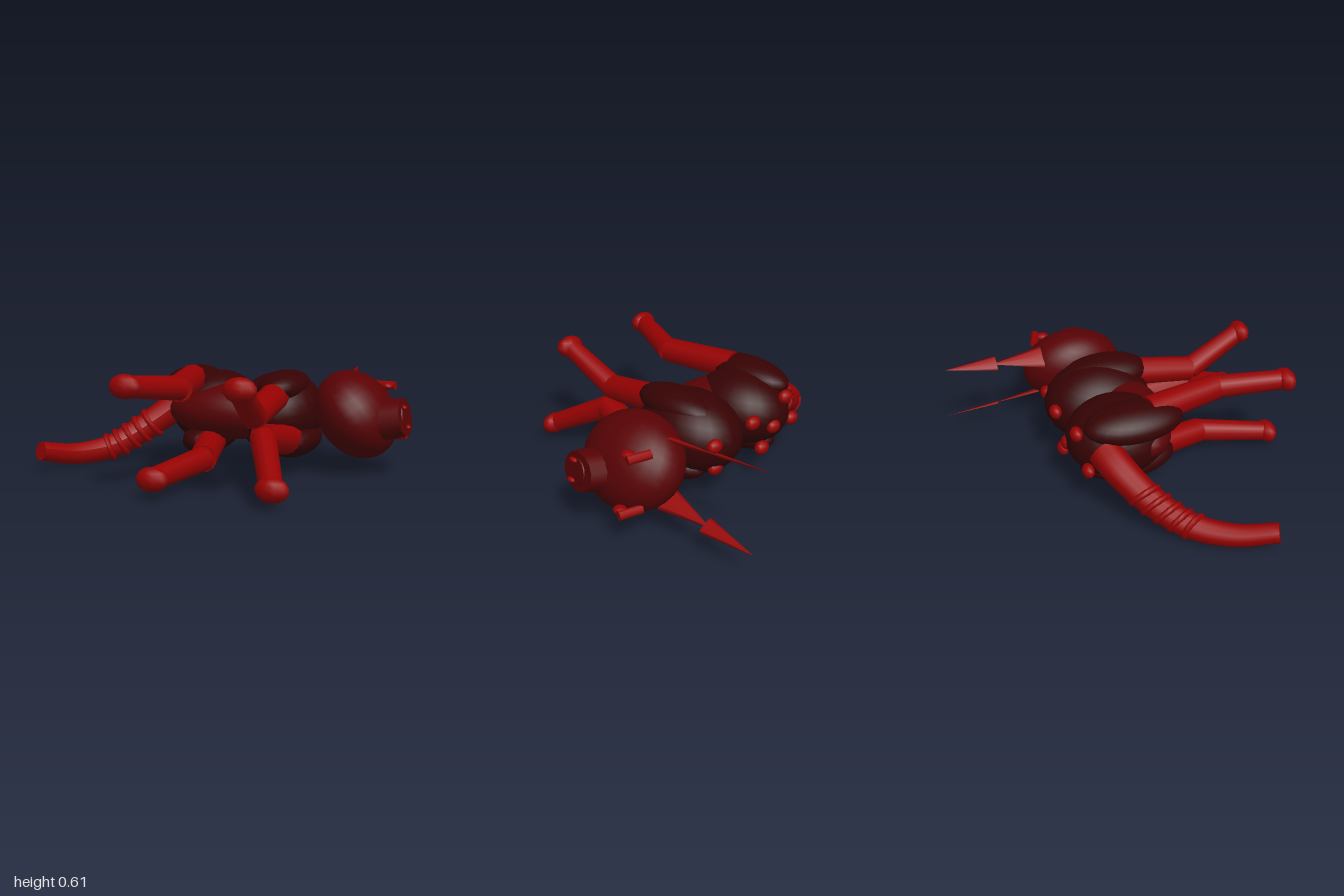
import * as THREE from 'three';

const colour = (name, hex) => {
  const m = new THREE.MeshStandardMaterial({ color: hex });
  m.name = name;
  return m;
};
const V = (p) => new THREE.Vector3(...p);

export function createModel() {
  const g = new THREE.Group();
  g.name = 'recliningCreature';
  const dark = colour('dark maroon', 0x360203);
  const mid = colour('deep red', 0x580204);
  const red = colour('bright red', 0x960101);

  const add = (name, geo, mat, pos = [0, 0, 0]) => {
    const m = new THREE.Mesh(geo, mat);
    m.name = name;
    m.position.set(...pos);
    g.add(m);
    return m;
  };
  const ball = (name, mat, pos, radii, turn = 0, seg = 24) => {
    const m = add(name, new THREE.SphereGeometry(1, seg, Math.round(seg * 0.7)), mat, pos);
    m.scale.set(...radii);
    m.rotation.z = turn;
    return m;
  };
  // Cylinder or cone running from a to b
  const rod = (name, mat, a, b, ra, rb, seg = 12) => {
    const d = V(b).sub(V(a));
    const m = add(name, new THREE.CylinderGeometry(rb, ra, d.length(), seg), mat);
    m.position.copy(V(a)).addScaledVector(d, 0.5);
    m.quaternion.setFromUnitVectors(new THREE.Vector3(0, 1, 0), d.normalize());
    return m;
  };
  // Flattened cone from a to b, its broad side lying along the direction "broad"
  const blade = (name, a, b, radius, broad) => {
    const up = V(b).sub(V(a));
    const length = up.length();
    up.normalize();
    const thin = V(broad).cross(up).normalize();
    const m = add(name, new THREE.ConeGeometry(radius, length, 8), red);
    m.position.copy(V(a)).addScaledVector(up, length / 2);
    m.quaternion.setFromRotationMatrix(new THREE.Matrix4().makeBasis(up.clone().cross(thin), up, thin));
    m.scale.z = 0.2;
  };

  // Torso: the animal lies on its side, its back towards -z, its head at +x
  ball('chest', dark, [0.26, 0.32, -0.085], [0.25, 0.225, 0.315], 0.2);
  ball('rump', dark, [-0.13, 0.33, -0.1], [0.25, 0.21, 0.29], 0.2);
  ball('belly', mid, [0.01, 0.325, 0.03], [0.37, 0.16, 0.205]);
  for (const [x, y] of [[-0.25, 0.475], [-0.14, 0.165]])
    ball('thigh', dark, [x, y, -0.045], [0.145, 0.095, 0.28], 0.15);
  for (const [x, y] of [[0.3, 0.465], [0.37, 0.175]])
    ball('shoulder', dark, [x, y, -0.025], [0.14, 0.095, 0.26], 0.15);

  // Legs: hip, knee, paw
  const legs = {
    leftFrontLeg: [[0.3, 0.45, 0.05], [0.295, 0.38, 0.52], [0.335, 0.55, 0.86]],
    rightFrontLeg: [[0.38, 0.18, 0.05], [0.345, 0.27, 0.52], [0.49, 0.095, 0.86]],
    leftRearLeg: [[-0.22, 0.5, 0.05], [-0.12, 0.5, 0.49], [-0.245, 0.545, 0.86]],
    rightRearLeg: [[-0.1, 0.16, 0.05], [0, 0.13, 0.46], [-0.11, 0.1, 0.86]],
  };
  for (const [name, [hip, knee, paw]] of Object.entries(legs)) {
    rod(name + 'Upper', red, hip, knee, 0.083, 0.073);
    rod(name + 'Lower', red, knee, paw, 0.067, 0.056);
    ball(name + 'Paw', red, paw, [0.085, 0.062, 0.057], 0, 10);
  }

  // Head and snout, turned a little towards +y
  ball('head', mid, [0.693, 0.32, -0.115], [0.205, 0.262, 0.305], 0.65);
  const n = V([1, 0.22, 0.14]).normalize();
  const c = V([0.925, 0.32, -0.025]);
  const at = (s) => c.clone().addScaledVector(n, s).toArray();
  const snout = rod('snout', mid, at(-0.08), at(0.05), 0.145, 0.13, 14);
  snout.scale.z = 0.78;
  // Turn the long side of the snout to lie along z
  snout.rotateY(Math.PI / 2);
  rod('snoutTip', mid, at(0.04), at(0.056), 0.075, 0.065, 14);
  for (const s of [-1, 1]) {
    const p = at(0.06);
    ball('nostril', red, [p[0] - s * 0.012, p[1] + s * 0.052, p[2] + 0.03], [0.015, 0.013, 0.026], 0, 10);
  }

  // Eyes with brows
  for (const [x, y] of [[0.83, 0.465], [0.9, 0.185]]) {
    rod('brow', red, [x - 0.07, y, -0.325], [x + 0.05, y, -0.29], 0.025, 0.025, 8);
    ball('eye', red, [x + 0.01, y, -0.255], [0.035, 0.022, 0.04], 0, 10);
  }

  // Flat horns, each with a separate pointed head: base, middle, tip, broad direction
  for (const [base, middle, tip, broad] of [
    [[0.59, 0.465, -0.32], [0.57, 0.49], [0.55, 0.515, -0.915], [0.8, 0.6, 0]],
    [[0.68, 0.18, -0.34], [0.675, 0.148], [0.67, 0.125, -0.915], [0.87, -0.5, 0]],
  ]) {
    blade('horn', base, [...middle, -0.64], 0.072, broad);
    blade('hornPoint', [...middle, -0.605], tip, 0.048, broad);
  }

  // Tapering tail with slanted bands
  const path = new THREE.CatmullRomCurve3([
    [-0.3, 0.36, -0.23], [-0.41, 0.31, -0.19], [-0.58, 0.18, -0.06], [-0.72, 0.085, 0.1],
    [-0.85, 0.07, 0.29], [-0.955, 0.115, 0.49],
  ].map(V));
  const steps = 32, sides = 12;
  const tail = new THREE.TubeGeometry(path, steps, 1, sides);
  const pos = tail.attributes.position;
  for (let i = 0; i < pos.count; i++) {
    const t = Math.floor(i / (sides + 1)) / steps;
    const centre = path.getPointAt(t);
    const p = new THREE.Vector3().fromBufferAttribute(pos, i).sub(centre);
    p.multiplyScalar(0.095 - 0.042 * t).add(centre);
    pos.setXYZ(i, p.x, p.y, p.z);
  }
  tail.computeVertexNormals();
  add('tail', tail, red);
  const end = path.getPointAt(1);
  const dir = path.getTangentAt(1);
  rod('tailEnd', red, end.clone().addScaledVector(dir, -0.01).toArray(), end.toArray(), 0.053, 0.053, sides);
  for (const t of [0.3, 0.37, 0.44, 0.51, 0.58]) {
    const ring = add('tailBand', new THREE.TorusGeometry(0.093 - 0.042 * t, 0.018, 8, 16), red);
    ring.position.copy(path.getPointAt(t));
    ring.lookAt(path.getTangentAt(t).multiply(V([1, 1, 0.4])).add(ring.position));
  }

  // Bumps along the back
  for (const p of [
    [0.36, 0.36, -0.365], [0.32, 0.2, -0.33], [0.09, 0.4, -0.385], [0, 0.21, -0.375],
    [-0.09, 0.31, -0.375], [-0.21, 0.44, -0.355], [-0.31, 0.26, -0.325],
  ]) ball('backBump', red, p, [0.048, 0.04, 0.035], 0, 10);

  return g;
}
